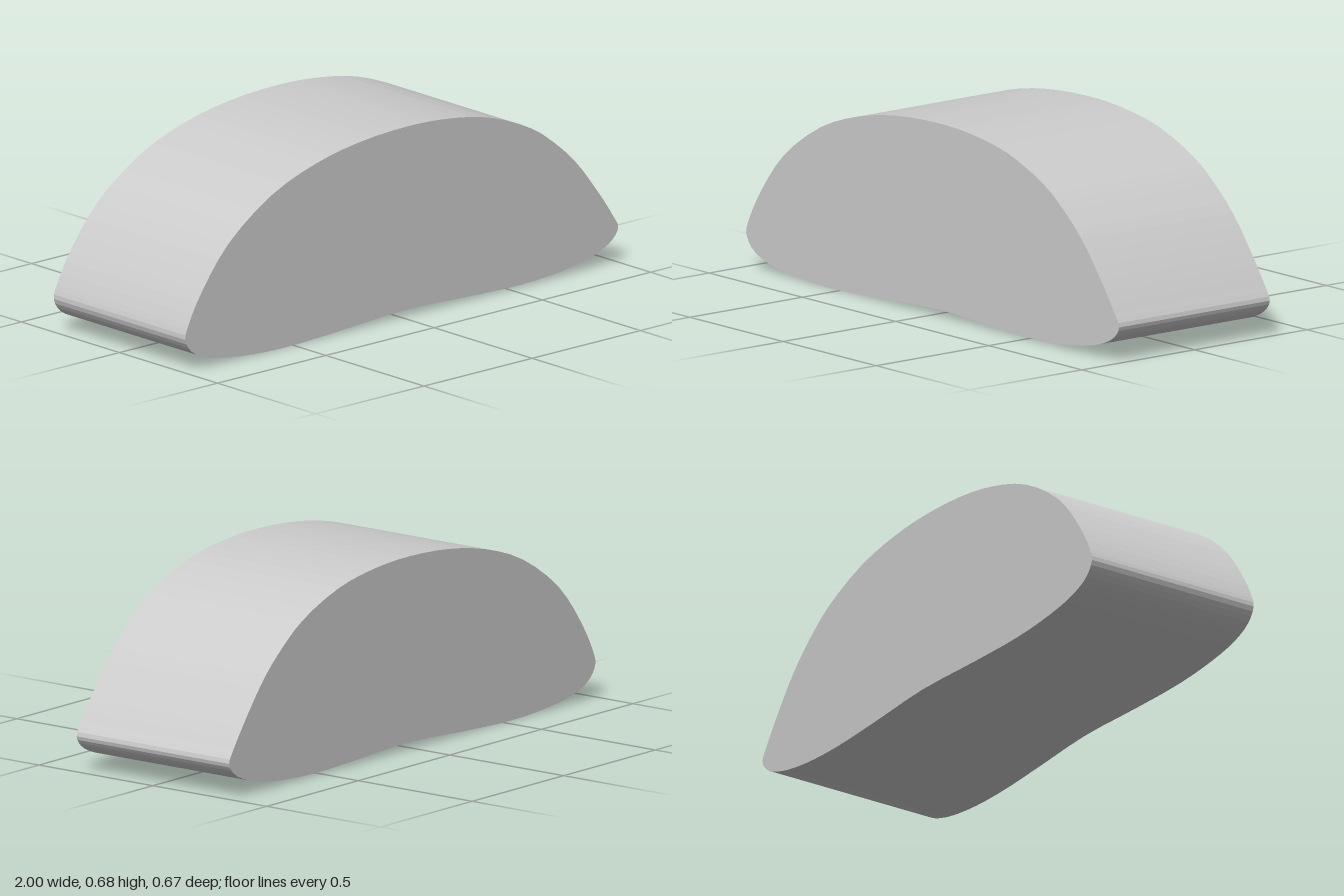
import * as THREE from 'three';

const DEPTH = 0.67;

// Closed outline of the domed block, counter-clockwise from the bottom middle
const outline = [
  [0.03, 0.024], [0.3, 0.014], [0.55, 0.008], [0.75, 0.02], [0.9, 0.05],
  [0.975, 0.087], [1, 0.125], [0.975, 0.172], [0.9, 0.278], [0.8, 0.4], [0.7, 0.488],
  [0.6, 0.556], [0.4, 0.635], [0.2, 0.669], [0.02, 0.677], [-0.2, 0.664],
  [-0.4, 0.627], [-0.6, 0.556], [-0.8, 0.422], [-0.92, 0.279], [-0.985, 0.168],
  [-1, 0.118], [-0.97, 0.07], [-0.89, 0.033], [-0.75, 0.01], [-0.55, 0], [-0.3, 0.008],
];

export function createModel() {
  const group = new THREE.Group();
  group.name = 'domedBlock';

  const curve = new THREE.CatmullRomCurve3(
    outline.map(([x, y]) => new THREE.Vector3(x, y, 0)), true, 'centripetal');
  const points = curve.getPoints(outline.length * 3).slice(0, -1);
  const shape = new THREE.Shape(points.map((p) => new THREE.Vector2(
    THREE.MathUtils.clamp(p.x, -1, 1), Math.max(p.y, 0))));

  // Straight extrusion with flat front and back faces
  const geometry = new THREE.ExtrudeGeometry(shape, { depth: DEPTH, bevelEnabled: false });
  geometry.translate(0, 0, -DEPTH / 2);

  const body = new THREE.Mesh(geometry, new THREE.MeshStandardMaterial({ color: 0xcccccc }));
  body.name = 'body';
  group.add(body);
  return group;
}
